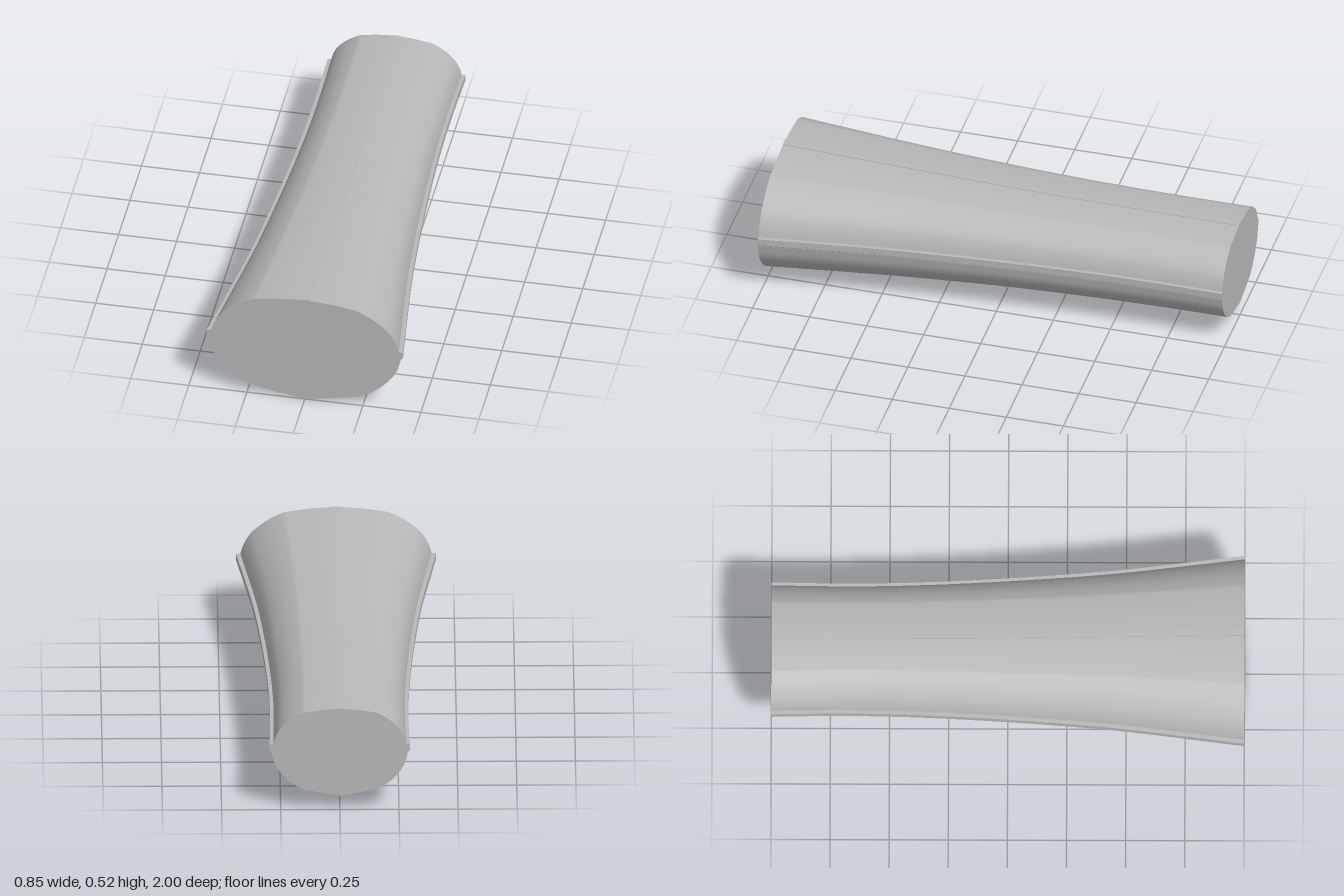
import * as THREE from 'three';
import { toCreasedNormals } from 'three/addons/utils/BufferGeometryUtils.js';

const curve = (pts) => new THREE.SplineCurve(pts.map(([x, y]) => new THREE.Vector2(x, y)));

// Half-width, top and bottom along the length, as (z, value)
const width = [[-1, 0.297], [-0.7, 0.291], [-0.4, 0.296], [0, 0.317], [0.45, 0.352], [1, 0.423]];
const top = [[-1, 0.47], [-0.6, 0.474], [-0.2, 0.479], [0, 0.484], [0.5, 0.503], [1, 0.522]];
const bottom = [[-1, 0.067], [-0.6, 0.062], [-0.2, 0.056], [0, 0.051], [0.5, 0.028], [1, 0.003]];

// Right half of the widest cross-section, below and above the side flange
const lower = curve([[0.015, 0.007], [0.1, 0.02], [0.2, 0.04], [0.235, 0.05], [0.3, 0.087],
  [0.36, 0.145], [0.395, 0.2], [0.41, 0.25], [0.414, 0.268]]).getPoints(28);
const upper = curve([[0.405, 0.305], [0.39, 0.35], [0.36, 0.4], [0.3, 0.453], [0.235, 0.489],
  [0.2, 0.499], [0.1, 0.513], [0.015, 0.519]]).getPoints(28);

// Linear lookup followed by light smoothing over neighbouring stations
function sample(table, z) {
  const at = (q) => {
    q = THREE.MathUtils.clamp(q, -1, 1);
    let i = 0;
    while (i < table.length - 2 && q > table[i + 1][0]) i++;
    const [a, b] = [table[i], table[i + 1]];
    return a[1] + (b[1] - a[1]) * (q - a[0]) / (b[0] - a[0]);
  };
  const r = Math.min(0.15, 1 - Math.abs(z));
  return (at(z - r) + at(z - r / 2) + at(z) + at(z + r / 2) + at(z + r)) / 5;
}

// Closed outline at z, counter-clockwise seen from the front
function outline(z) {
  const w = sample(width, z), t = sample(top, z), b = sample(bottom, z);
  const sx = (w - 0.01) / 0.413;
  const su = (t - 0.305) / (0.522 - 0.305), sl = (0.27 - b) / (0.27 - 0.003);
  const x = (v) => 0.015 + (v - 0.015) * (0.413 * sx - 0.015) / 0.398;
  const half = [
    [0.015, b],                                                   // bottom ridge
    ...lower.map((p) => [x(p.x), 0.27 - (0.27 - p.y) * sl]),
    [w, 0.275], [w, 0.305],                                       // side flange
    ...upper.map((p) => [x(p.x), 0.305 + (p.y - 0.305) * su]),
    [0.015, t],                                                   // top ridge
  ];
  return [...half, ...half.slice().reverse().map(([px, py]) => [-px, py])];
}

// Skin lofted through the outlines
function loftGeometry(steps) {
  const rings = [];
  for (let i = 0; i <= steps; i++) {
    const z = -1 + 2 * i / steps;
    rings.push(outline(z).map(([x, y]) => [x, y, z]));
  }
  const n = rings[0].length, pos = [];
  for (let i = 0; i < steps; i++) {
    for (let j = 0; j < n; j++) {
      const k = (j + 1) % n;
      const a = rings[i][j], b = rings[i][k], c = rings[i + 1][k], d = rings[i + 1][j];
      pos.push(...a, ...b, ...c, ...a, ...c, ...d);
    }
  }
  const g = new THREE.BufferGeometry();
  g.setAttribute('position', new THREE.Float32BufferAttribute(pos, 3));
  return toCreasedNormals(g, 0.45);
}

export function createModel() {
  const grey = new THREE.MeshStandardMaterial({ color: 0xb8b8b8 });
  grey.name = 'grey';
  const group = new THREE.Group();
  group.name = 'taperedBody';

  const add = (name, geometry) => {
    const mesh = new THREE.Mesh(geometry, grey);
    mesh.name = name;
    group.add(mesh);
    return mesh;
  };
  const cap = (z) => new THREE.ShapeGeometry(
    new THREE.Shape(outline(z).map(([x, y]) => new THREE.Vector2(x, y))));

  add('bodySkin', loftGeometry(48));
  add('frontEnd', cap(1)).position.z = 1;
  const back = add('backEnd', cap(-1));
  back.rotation.y = Math.PI;
  back.position.z = -1;
  return group;
}
